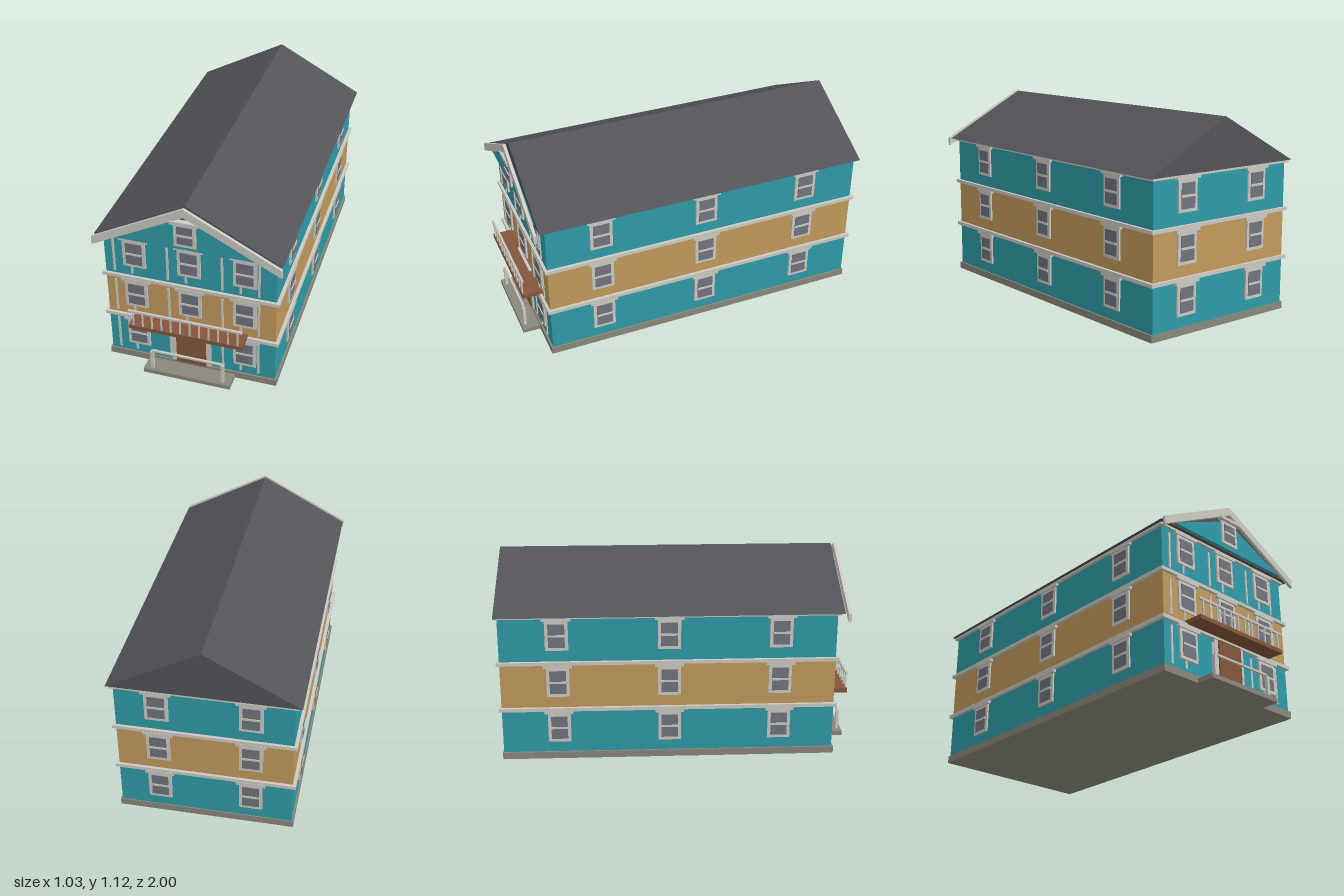
import * as THREE from 'three';

const mat = (name, color) => {
  const m = new THREE.MeshStandardMaterial({ color });
  m.name = name;
  return m;
};

export function createModel() {
  const teal = mat('teal siding', 0x2f9ba8);
  const ochre = mat('ochre siding', 0xc29a5c);
  const trim = mat('pale trim', 0xcccac2);
  const slate = mat('dark roof', 0x525459);
  const glass = mat('window glass', 0x71747f);
  const wood = mat('brown wood', 0x83563b);
  const stone = mat('foundation stone', 0x8a877b);

  const house = new THREE.Group();
  house.name = 'house';

  // Box given by its lower and upper limits on each axis
  function box(name, material, x0, x1, y0, y1, z0, z1, parent = house) {
    const mesh = new THREE.Mesh(new THREE.BoxGeometry(x1 - x0, y1 - y0, z1 - z0), material);
    mesh.position.set((x0 + x1) / 2, (y0 + y1) / 2, (z0 + z1) / 2);
    mesh.name = name;
    parent.add(mesh);
    return mesh;
  }

  // Flat outline in x and y, extruded from z0 to z1
  function slab(name, material, points, z0, z1) {
    const shape = new THREE.Shape(points.map(([x, y]) => new THREE.Vector2(x, y)));
    const geometry = new THREE.ExtrudeGeometry(shape, { depth: z1 - z0, bevelEnabled: false });
    geometry.translate(0, 0, z0);
    const mesh = new THREE.Mesh(geometry, material);
    mesh.name = name;
    house.add(mesh);
  }

  // Sash window: origin at the bottom centre of the frame, facing +z
  function sashWindow(name, x, y, z, turn = 0, w = 0.128, h = 0.171, border = 0.018) {
    const g = new THREE.Group();
    g.name = name;
    const a = w / 2, b = a - border;
    box('windowFrame', trim, -a, a, 0, h, -0.002, 0.010, g);
    box('windowPane', glass, -b, b, border, h - border, 0, 0.013, g);
    box('windowRail', trim, -b, b, h / 2 - 0.006, h / 2 + 0.006, 0, 0.017, g);
    box('windowHood', trim, -a - 0.016, a + 0.016, h, h + 0.019, -0.002, 0.018, g);
    g.position.set(x, y, z);
    g.rotation.y = turn;
    house.add(g);
  }

  const W = 0.475, FRONT = 0.89, BACK = -0.98;

  // Foundation and front step
  box('foundation', stone, -0.485, 0.485, 0, 0.04, -0.986, 0.9);
  box('frontStep', stone, -0.25, 0.25, 0, 0.025, 0.9, 1);

  // Three storeys, each capped with a trim band
  const levels = [0.04, 0.3, 0.574, 0.846];
  ['lower', 'middle', 'upper'].forEach((n, i) => {
    box(n + 'Storey', i === 1 ? ochre : teal, -W, W, levels[i], levels[i + 1], BACK, FRONT);
  });
  [[0.291, 0.311], [0.565, 0.584], [0.834, 0.849]].forEach(([y0, y1]) => {
    box('trimBand', trim, -0.493, 0.493, y0, y1, -0.996, 0.906);
  });

  // Windows and front battens, floor by floor
  const HALF = Math.PI / 2;
  for (let floor = 0; floor < 3; floor++) {
    const y = 0.104 + 0.273 * floor;
    for (const x of [-0.305, 0, 0.305]) {
      if (floor > 0 || x !== 0) sashWindow('frontWindow', x, y, FRONT);
    }
    for (const z of [-0.66, -0.04, 0.58]) {
      sashWindow('leftWindow', W, y, z, HALF);
      sashWindow('rightWindow', -W, y, z, -HALF);
    }
    for (const x of [-0.25, 0.25]) sashWindow('backWindow', x, y, BACK, Math.PI);
    const foot = 0.058 + 0.271 * floor;
    for (const x of [-0.423, -0.323, -0.121, -0.02, 0.18, 0.281, 0.381]) {
      if (floor === 0 && x === -0.02) continue;
      box('batten', trim, x - 0.006, x + 0.006, foot, foot + 0.212, FRONT - 0.002, FRONT + 0.006);
    }
  }

  // Front door with surround and header
  box('doorSurround', trim, -0.112, 0.112, 0.04, 0.31, FRONT - 0.002, FRONT + 0.009);
  box('doorHeader', trim, -0.12, 0.12, 0.312, 0.334, FRONT - 0.002, FRONT + 0.016);
  box('frontDoor', wood, -0.085, 0.085, 0.04, 0.293, FRONT, FRONT + 0.017);

  // Balcony and its railing
  box('balconyFloor', wood, -0.32, 0.32, 0.305, 0.328, FRONT, 1);
  box('balconyHandrail', trim, -0.32, 0.32, 0.416, 0.429, 0.988, 1);
  for (let i = 0; i < 12; i++) {
    const x = -0.293 + i * 0.0533;
    box('baluster', trim, x - 0.004, x + 0.004, 0.328, 0.418, 0.99, 0.998);
  }

  // Step railing
  for (const x of [-0.203, 0.203]) {
    box('stepPost', trim, x - 0.009, x + 0.009, 0.025, 0.145, 0.967, 0.985);
  }
  box('stepHandrail', trim, -0.2, 0.2, 0.144, 0.155, 0.97, 0.982);

  // Roof prism, gable panel, bargeboards and attic window
  slab('roof', slate, [[-0.512, 0.846], [0.512, 0.846], [0, 1.12]], -0.998, 0.925);
  slab('gablePanel', teal, [[-0.42, 0.855], [0.42, 0.855], [0, 1.04]], 0.924, 0.936);
  slab('bargeboards', trim, [
    [-0.514, 0.8], [0, 1.07], [0.514, 0.8], [0.514, 0.848], [0, 1.12], [-0.514, 0.848],
  ], 0.94, 0.957);
  sashWindow('atticWindow', 0, 0.878, 0.936, 0, 0.12, 0.143);
  box('atticHood', trim, -0.076, 0.076, 1.021, 1.04, 0.936, 0.963);

  return house;
}
